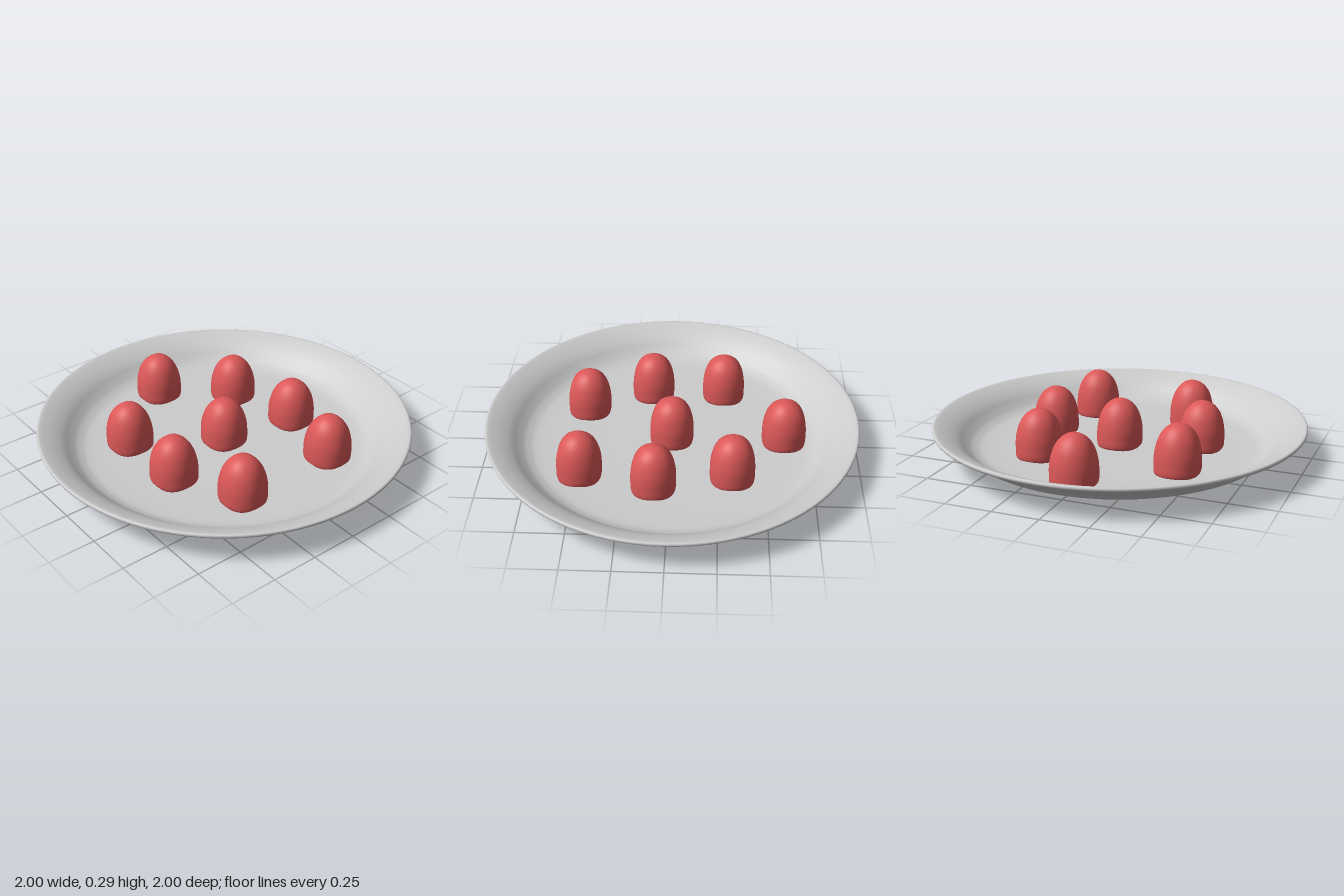
import * as THREE from 'three';

const material = (name, color) => {
  const m = new THREE.MeshStandardMaterial({ color });
  m.name = name;
  return m;
};

// Smooth curve through [radius, height] points
const profile = (points, steps) =>
  new THREE.SplineCurve(points.map(([r, y]) => new THREE.Vector2(r, y)))
    .getPoints(steps)
    .map((p) => p.setX(Math.max(p.x, 0)));

// Shallow dish: underside, rolled lip, then the inside back to the centre
function plateGeometry() {
  const underside = profile([
    [0, 0], [0.4, 0.006], [0.7, 0.02], [0.8, 0.045], [0.865, 0.09],
    [0.91, 0.115], [0.945, 0.135], [0.992, 0.16],
  ], 32);
  const lip = profile([[0.998, 0.166], [1, 0.174], [0.996, 0.182], [0.985, 0.183]], 6);
  const inside = profile([
    [0.97, 0.178], [0.92, 0.156], [0.87, 0.125], [0.825, 0.085],
    [0.78, 0.056], [0.7, 0.04], [0.4, 0.032], [0, 0.03],
  ], 32);
  return new THREE.LatheGeometry([...underside, ...lip, ...inside], 96);
}

// Domed sweet with a slightly squared footprint that rounds off towards the top
function sweetGeometry() {
  const geometry = new THREE.LatheGeometry(profile([
    [0, 0.025], [0.06, 0.026], [0.105, 0.032], [0.116, 0.05], [0.117, 0.09],
    [0.1155, 0.135], [0.108, 0.18], [0.094, 0.224], [0.07, 0.262],
    [0.036, 0.287], [0, 0.295],
  ], 40), 48);
  const pos = geometry.attributes.position;
  for (let i = 0; i < pos.count; i++) {
    const x = pos.getX(i), z = pos.getZ(i), r = Math.hypot(x, z);
    if (r < 1e-6) continue;
    const n = 2 + 0.6 * Math.min(1, r / 0.11);
    const k = Math.pow(Math.abs(x / r) ** n + Math.abs(z / r) ** n, -1 / n);
    pos.setX(i, x * k);
    pos.setZ(i, z * k);
  }
  return geometry;
}

export function createModel() {
  const group = new THREE.Group();
  group.name = 'plateOfSweets';
  const grey = material('plate grey', 0xcccccc);
  const red = material('sweet red', 0xdc5858);

  const plate = new THREE.Mesh(plateGeometry(), grey);
  plate.name = 'plate';
  group.add(plate);

  // Sweets scattered over the floor of the plate
  const spots = [
    [0, 0], [0, -0.605], [0.325, -0.325], [0.415, 0.08],
    [0.325, 0.47], [-0.255, 0.47], [-0.425, 0.12], [-0.425, -0.28],
  ];
  const geometry = sweetGeometry();
  spots.forEach(([x, z], i) => {
    const sweet = new THREE.Mesh(geometry, red);
    sweet.name = `sweet${i + 1}`;
    sweet.position.set(x, 0, z);
    group.add(sweet);
  });
  return group;
}
